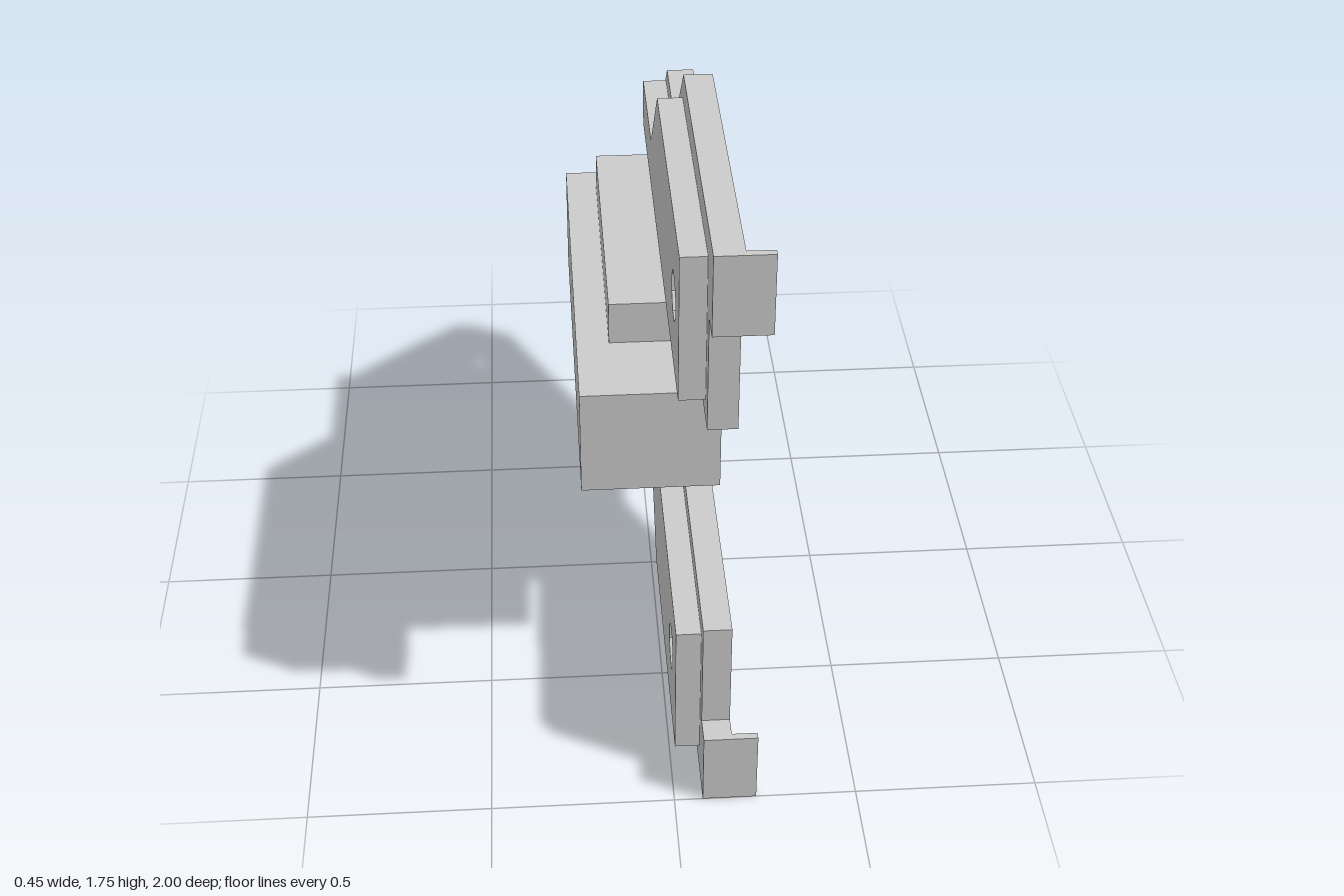
import * as THREE from 'three';

const H = 1.755; // overall height; the part is symmetric about H / 2
const material = new THREE.MeshStandardMaterial({ color: 0xcccccc, flatShading: true });

// Octagonal bolt hole with flats facing up and sideways
function hole(z, y) {
  const pts = [];
  for (let i = 0; i < 8; i++) {
    const a = (i + 0.5) * Math.PI / 4;
    pts.push(new THREE.Vector2(z + 0.067 * Math.cos(a), y + 0.067 * Math.sin(a)));
  }
  return new THREE.Path(pts);
}

// Extrudes a [z, y] outline across the range x0..x1
function slab(name, outline, x0, x1, holes = []) {
  const shape = new THREE.Shape(outline.map(([z, y]) => new THREE.Vector2(z, y)));
  shape.holes = holes.map(([z, y]) => hole(z, y));
  const geometry = new THREE.ExtrudeGeometry(shape, { depth: x1 - x0, bevelEnabled: false });
  geometry.rotateY(-Math.PI / 2);
  geometry.translate(x1, 0, 0);
  const mesh = new THREE.Mesh(geometry, material);
  mesh.name = name;
  return mesh;
}

const flip = ([z, y]) => [z, H - y];
// Completes an upper half outline with its mirrored lower half
const mirrored = (half) => [...half, ...half.map(flip).reverse()];

export function createModel() {
  const group = new THREE.Group();
  group.name = 'bracket';

  // Main plate with notched front and pointed rear
  const plate = mirrored([
    [0.53, 1.036], [0.285, 1.036], [0.285, 1.207], [0.925, 1.207], [0.925, 1.533], [1, 1.533],
    [1, H], [0.1, H], [-0.195, 1.46], [-0.505, 1.46], [-1, 0.965],
  ]);
  const boltHole = [0.705, 1.46];
  group.add(slab('mainPlate', plate, 0.078, 0.155, [boltHole, flip(boltHole), [-0.795, H / 2]]));

  // Raised pads and front lips, upper and lower
  const pad = [[0.875, 1.263], [0.875, 1.677], [0.08, 1.677], [-0.182, 1.405], [-0.547, 1.405], [-0.547, 1.263]];
  const lip = [[0.98, 1.533], [1, 1.533], [1, H], [0.98, H]];
  for (const [side, f] of [['upper', (p) => p], ['lower', flip]]) {
    group.add(slab(side + 'Pad', pad.map(f), 0.01, 0.078, [f(boltHole)]));
    group.add(slab(side + 'Lip', lip.map(f), 0.078, 0.225));
  }

  // Central rib and the wider step around it, with sloped rear ends
  group.add(slab('centreRib', mirrored([[0.53, 1.036], [-0.655, 1.036]]), -0.225, 0.078));
  group.add(slab('ribStep', mirrored([[0.285, 1.162], [-0.535, 1.162], [-0.568, 1.036]]), -0.135, 0.078));
  return group;
}
